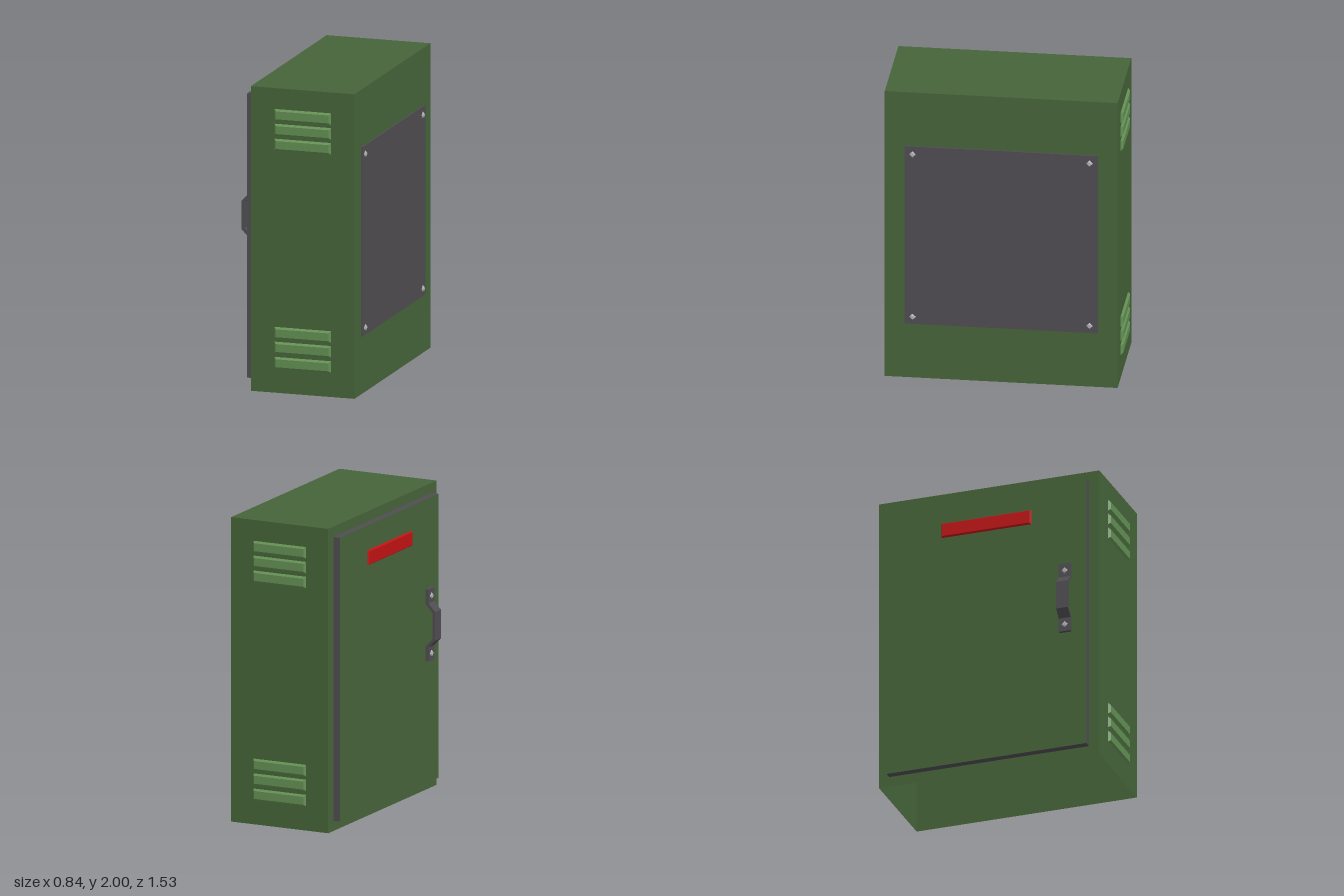
import * as THREE from 'three';

const mat = (name, color, side = THREE.FrontSide) => {
  const m = new THREE.MeshStandardMaterial({ color, side });
  m.name = name;
  return m;
};

export function createModel() {
  const green = mat('cabinet green', 0x466439, THREE.DoubleSide);
  const lightGreen = mat('louver green', 0x639054);
  const grey = mat('dark grey', 0x4f4d51, THREE.DoubleSide);
  const red = mat('sign red', 0xc01212);
  const steel = mat('screw steel', 0xb4b4b6);

  const model = new THREE.Group();
  model.name = 'cabinet';
  const add = (parent, name, geometry, material, pos = [0, 0, 0], rot = [0, 0, 0]) => {
    const mesh = new THREE.Mesh(geometry, material);
    mesh.name = name;
    mesh.position.set(...pos);
    mesh.rotation.set(...rot);
    parent.add(mesh);
    return mesh;
  };
  const group = (name) => {
    const g = new THREE.Group();
    g.name = name;
    model.add(g);
    return g;
  };
  const H = Math.PI / 2;

  // Raised plate whose outer (+z) face is inset on every side
  const raisedPlate = (w, h, d, inset) => {
    const g = new THREE.BoxGeometry(w, h, d).toNonIndexed();
    g.translate(0, 0, d / 2);
    const p = g.attributes.position;
    for (let i = 0; i < p.count; i++) {
      if (p.getZ(i) > d / 2) {
        p.setX(i, p.getX(i) - Math.sign(p.getX(i)) * inset);
        p.setY(i, p.getY(i) - Math.sign(p.getY(i)) * inset);
      }
    }
    g.computeVertexNormals();
    return g;
  };

  // Thin shell, open underneath, with a door opening in the -x wall
  const shell = group('shell');
  add(shell, 'frontWall', new THREE.PlaneGeometry(0.7, 2), green, [0.05, 1, 0.75]);
  add(shell, 'backWall', new THREE.PlaneGeometry(0.7, 2), green, [0.05, 1, -0.75], [0, Math.PI, 0]);
  add(shell, 'leftWall', new THREE.PlaneGeometry(1.5, 2), green, [0.4, 1, 0], [0, H, 0]);
  add(shell, 'roof', new THREE.PlaneGeometry(0.7, 1.5), green, [0.05, 2, 0], [-H, 0, 0]);
  const rectangle = (target, w, h) => target
    .moveTo(-w / 2, -h / 2).lineTo(w / 2, -h / 2)
    .lineTo(w / 2, h / 2).lineTo(-w / 2, h / 2).closePath();
  const doorW = 1.36, doorH = 1.866;
  const wall = rectangle(new THREE.Shape(), 1.5, 2);
  wall.holes.push(rectangle(new THREE.Path(), doorW, doorH));
  add(shell, 'doorWall', new THREE.ShapeGeometry(wall), green, [-0.3, 1, 0], [0, -H, 0]);

  // Door pushed outwards: green face, grey edges
  const door = group('door');
  add(door, 'doorFace', new THREE.PlaneGeometry(doorW, doorH), green, [-0.35, 1, 0], [0, -H, 0]);
  for (const s of [-1, 1]) {
    add(door, 'doorSideEdge', new THREE.PlaneGeometry(0.05, doorH), grey,
      [-0.325, 1, s * doorW / 2], [0, s > 0 ? 0 : Math.PI, 0]);
    add(door, 'doorEndEdge', new THREE.PlaneGeometry(0.05, doorW), grey,
      [-0.325, 1 + s * doorH / 2, 0], [-s * H, 0, 0]);
  }
  add(door, 'sign', raisedPlate(0.61, 0.1, 0.012, 0.008), red, [-0.35, 1.72, 0], [0, -H, 0]);

  // Louvers on front and back, three at the top and three at the bottom
  const louvers = group('louvers');
  const louverGeometry = raisedPlate(0.38, 0.076, 0.015, 0.012);
  for (const s of [-1, 1]) {
    for (const y of [1.825, 1.728, 1.63, 0.394, 0.297, 0.197]) {
      add(louvers, 'louver', louverGeometry, lightGreen,
        [0.05, y, s * 0.75], [0, s > 0 ? 0 : Math.PI, 0]);
    }
  }

  // Screwed access panel on the +x wall
  const panel = group('accessPanel');
  add(panel, 'panelPlate', new THREE.BoxGeometry(0.01, 1.245, 1.245), grey, [0.405, 1.0025, 0]);
  const screw = new THREE.CylinderGeometry(0.014, 0.023, 0.012, 4);
  for (const z of [-0.57, 0.57]) {
    for (const y of [0.43, 1.57]) {
      add(panel, 'panelScrew', screw, steel, [0.415, y, z], [0, 0, -H]);
    }
  }

  // Bent strap handle with a screw in each foot
  const handle = group('handle');
  const strap = new THREE.Shape([
    [-0.35, 0.87], [-0.35, 0.967], [-0.4, 1.022], [-0.4, 1.193], [-0.35, 1.248], [-0.35, 1.345],
    [-0.372, 1.345], [-0.372, 1.252], [-0.42, 1.202], [-0.42, 1.013], [-0.372, 0.963], [-0.372, 0.87],
  ].map(([x, y]) => new THREE.Vector2(x, y)));
  const strapGeometry = new THREE.ExtrudeGeometry(strap, { depth: 0.08, bevelEnabled: false });
  add(handle, 'handleStrap', strapGeometry, grey, [0, 0, 0.5]);
  for (const y of [0.918, 1.297]) {
    add(handle, 'handleScrew', screw, steel, [-0.376, y, 0.54], [0, 0, H]);
  }

  return model;
}
